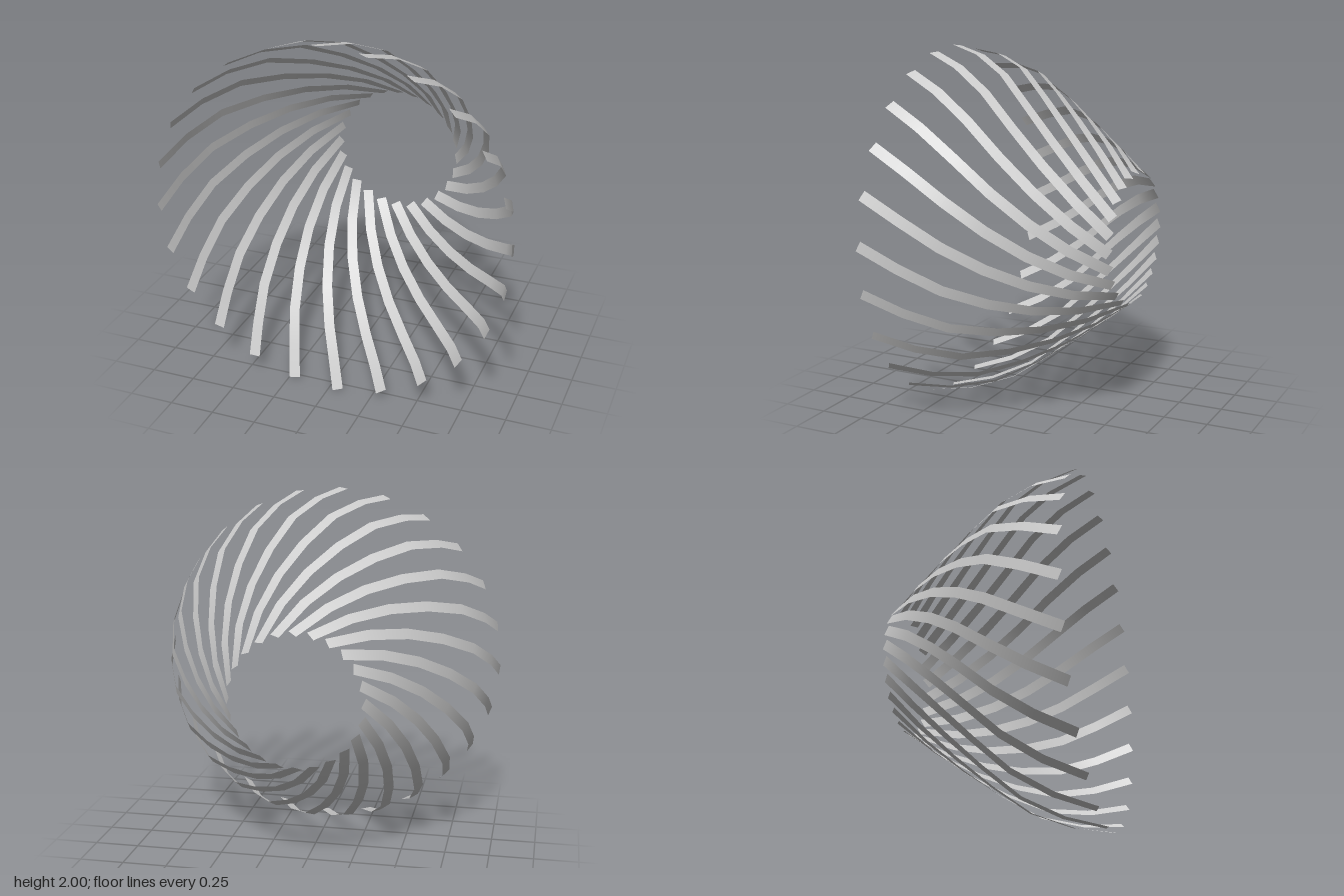
import * as THREE from 'three';

const COUNT = 24;          // ribbons around the ring
const HALF_WIDTH = 0.029;
const START = 3.1;         // angle of the first ribbon's wide end, in degrees

// Centre line of one ribbon: [z, radius, angle swept in degrees]
const PATH = [
  [0.562, 0.998, 0],
  [0.355, 0.96, 6.2],
  [0.15, 0.884, 13.8],
  [-0.035, 0.757, 22.6],
  [-0.215, 0.626, 33],
  [-0.39, 0.494, 46],
  [-0.56, 0.362, 65],
];

// One flat ribbon, its width lying in the surface of the bell
function ribbonGeometry() {
  const last = PATH.length - 1;
  const at = PATH.map(([z, r, sweep]) => {
    const a = THREE.MathUtils.degToRad(START - sweep);
    return new THREE.Vector3(r * Math.cos(a), r * Math.sin(a), z);
  });
  const positions = [], normals = [], index = [];
  PATH.forEach(([, , sweep], i) => {
    const p = Math.max(i - 1, 0), n = Math.min(i + 1, last);
    const a = THREE.MathUtils.degToRad(START - sweep);
    const slope = (PATH[n][1] - PATH[p][1]) / (PATH[n][0] - PATH[p][0]);
    const normal = new THREE.Vector3(Math.cos(a), Math.sin(a), -slope).normalize();
    const along = at[n].clone().sub(at[p]).normalize();
    const across = new THREE.Vector3().crossVectors(normal, along).normalize();
    for (const side of [-1, 1]) {
      positions.push(...at[i].clone().addScaledVector(across, side * HALF_WIDTH).toArray());
      normals.push(...normal.toArray());
    }
    if (i < last) {
      const k = 2 * i;
      index.push(k, k + 2, k + 1, k + 1, k + 2, k + 3);
    }
  });
  const geometry = new THREE.BufferGeometry();
  geometry.setAttribute('position', new THREE.Float32BufferAttribute(positions, 3));
  geometry.setAttribute('normal', new THREE.Float32BufferAttribute(normals, 3));
  geometry.setIndex(index);
  return geometry;
}

export function createModel() {
  const model = new THREE.Group();
  model.name = 'spiralRibbonShade';
  const material = new THREE.MeshStandardMaterial({ color: 0xcccccc, side: THREE.DoubleSide });
  const geometry = ribbonGeometry();

  // Ring of identical twisted ribbons
  for (let i = 0; i < COUNT; i++) {
    const ribbon = new THREE.Mesh(geometry, material);
    ribbon.name = `ribbon${i + 1}`;
    ribbon.position.y = 1;
    ribbon.rotation.z = (i / COUNT) * Math.PI * 2;
    model.add(ribbon);
  }
  return model;
}
